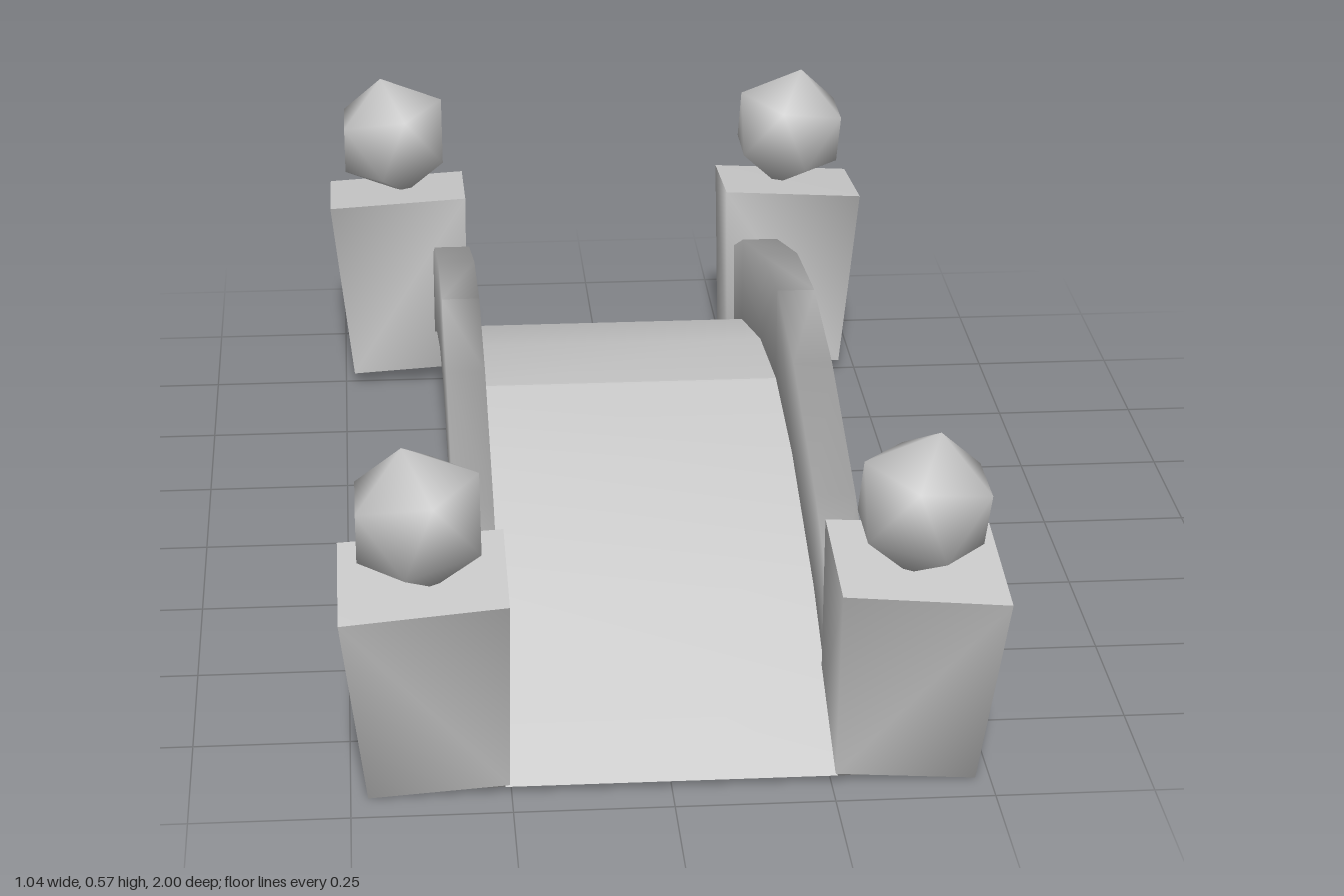
import * as THREE from 'three';

const material = new THREE.MeshStandardMaterial({ color: 0xcccccc, side: THREE.DoubleSide });

// Smooth indexed geometry; flip reverses the faces of a mirrored part
function indexed(points, faces, flip) {
  const g = new THREE.BufferGeometry();
  g.setAttribute('position', new THREE.Float32BufferAttribute(points.flat(), 3));
  const index = [];
  for (const [a, b, c, d] of faces) {
    if (flip) index.push(a, c, b, a, d, c);
    else index.push(a, b, c, a, c, d);
  }
  g.setIndex(index);
  g.computeVertexNormals();
  return g;
}

// Half arch from crown to foot: z, underside height, rail top height
const arch = [
  [0, 0.295, 0.46],
  [0.26, 0.265, 0.43],
  [0.59, 0.173, 0.335],
  [0.94, 0.012, 0.18],
];

// Curved walkway sheet
function deckHalf(sz) {
  const points = [], faces = [];
  arch.forEach(([z, y], i) => {
    points.push([-0.26, y, sz * z], [0.26, y, sz * z]);
    if (i) {
      const k = 2 * i;
      faces.push([k - 2, k, k + 1, k - 1]);
    }
  });
  return indexed(points, faces, sz < 0);
}

// Solid parapet following the arch
function railHalf(sx, sz) {
  const points = [], faces = [];
  arch.forEach(([z, low, high], i) => {
    for (const [x, y] of [[0.26, low], [0.325, low], [0.325, high], [0.26, high]]) {
      points.push([sx * x, y, sz * z]);
    }
    if (i) {
      const p = 4 * (i - 1), q = 4 * i;
      for (let j = 0; j < 4; j++) {
        const n = (j + 1) % 4;
        faces.push([p + j, p + n, q + n, q + j]);
      }
    }
  });
  const e = 4 * (arch.length - 1);
  faces.push([e, e + 1, e + 2, e + 3]);
  return indexed(points, faces, sx * sz < 0);
}

// Flared post leaning outward, open underneath
const postBottom = [[0.255, 0.015, 0.94], [0.475, 0, 0.94], [0.475, 0.022, 0.735], [0.255, 0.035, 0.735]];
const postTop = [[0.253, 0.345, 0.99], [0.513, 0.327, 1], [0.513, 0.355, 0.76], [0.253, 0.37, 0.76]];

function postSides(sx, sz) {
  const points = [...postBottom, ...postTop].map(([x, y, z]) => [sx * x, y, sz * z]);
  const faces = [0, 1, 2, 3].map((j) => [j, (j + 1) % 4, 4 + ((j + 1) % 4), 4 + j]);
  return indexed(points, faces, sx * sz < 0);
}

function postCap(sx, sz) {
  return indexed(postTop.map(([x, y, z]) => [sx * x, y, sz * z]), [[0, 1, 2, 3]], sx * sz < 0);
}

// Twenty-sided finial with rounded shading, one face turned sideways
function finialGeometry() {
  const g = new THREE.IcosahedronGeometry(0.119, 0);
  const t = (1 + Math.sqrt(5)) / 2;
  const side = new THREE.Vector3(1, 1, 1).normalize();
  const up = new THREE.Vector3(t, 0, 1);
  up.addScaledVector(side, -up.dot(side)).normalize();
  const across = new THREE.Vector3().crossVectors(side, up);
  g.applyMatrix4(new THREE.Matrix4().makeBasis(side, up, across).transpose());
  const p = g.attributes.position, v = new THREE.Vector3();
  for (let i = 0; i < p.count; i++) {
    v.fromBufferAttribute(p, i).normalize();
    g.attributes.normal.setXYZ(i, v.x, v.y, v.z);
  }
  return g;
}

export function createModel() {
  const model = new THREE.Group();
  model.name = 'footbridge';
  const add = (parent, name, geometry) => {
    const mesh = new THREE.Mesh(geometry, material);
    mesh.name = name;
    parent.add(mesh);
    return mesh;
  };
  const ball = finialGeometry();

  for (const sz of [1, -1]) {
    const end = sz > 0 ? 'front' : 'back';
    add(model, `${end}Deck`, deckHalf(sz));

    for (const sx of [1, -1]) {
      const corner = end + (sx > 0 ? 'Left' : 'Right');
      add(model, `${corner}Rail`, railHalf(sx, sz));

      const post = new THREE.Group();
      post.name = `${corner}Post`;
      post.position.x = sz > 0 ? 0.002 : -0.008;
      add(post, 'postSides', postSides(sx, sz));
      add(post, 'postCap', postCap(sx, sz));
      const finial = add(post, 'finial', ball);
      finial.position.set(sx * 0.388, 0.455, sz * 0.895);
      if (sx > 0) finial.rotation.y = Math.PI;
      model.add(post);
    }
  }
  return model;
}
